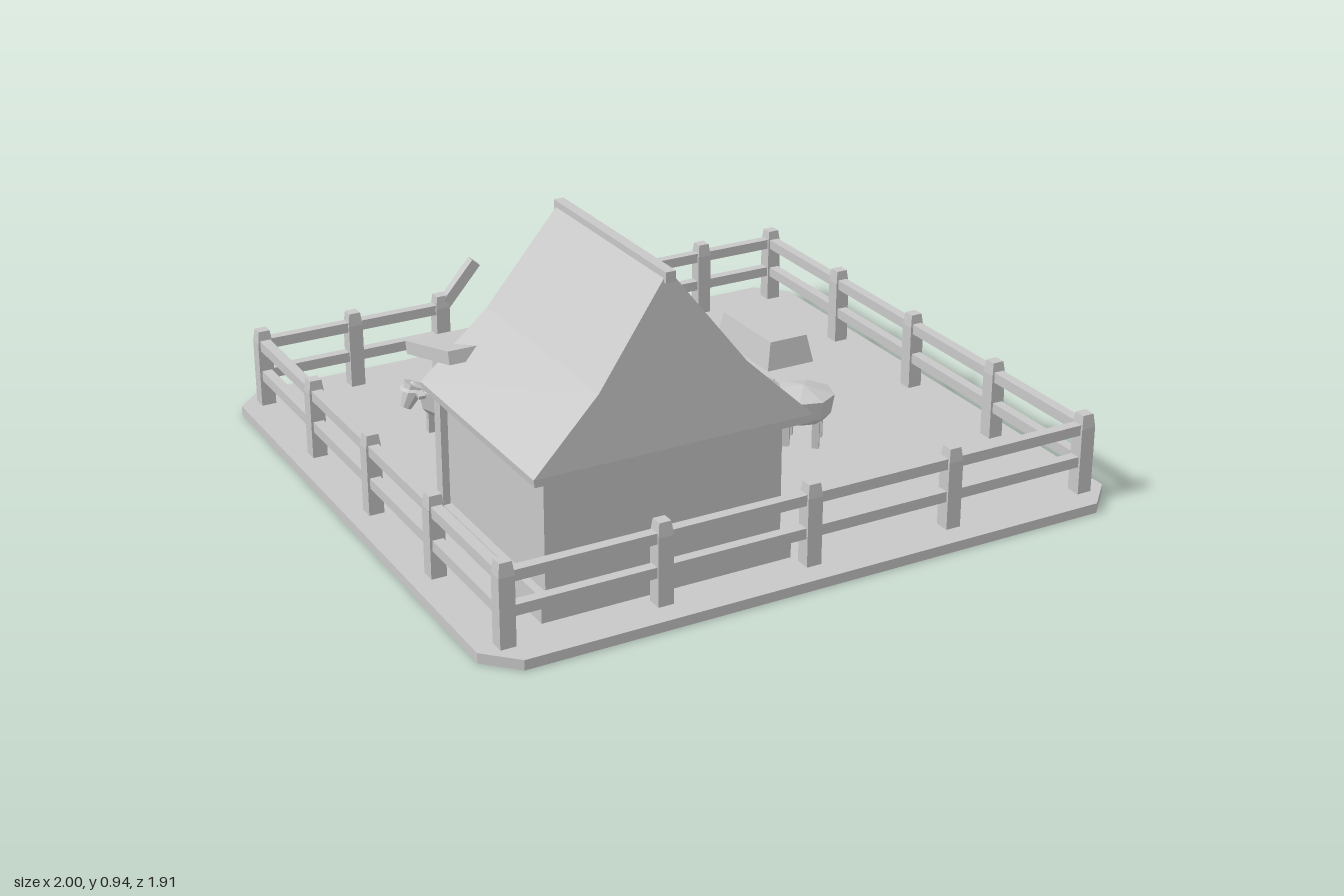
import * as THREE from 'three';

const grey = new THREE.MeshStandardMaterial({ color: 0xc8c8c8, flatShading: true });
grey.name = 'plainGrey';

function add(parent, name, geometry, x = 0, y = 0, z = 0) {
  const mesh = new THREE.Mesh(geometry, grey);
  mesh.name = name;
  mesh.position.set(x, y, z);
  parent.add(mesh);
  return mesh;
}

// Box given by its minimum and maximum corners
function block(parent, name, [x0, y0, z0], [x1, y1, z1]) {
  return add(parent, name, new THREE.BoxGeometry(x1 - x0, y1 - y0, z1 - z0),
    (x0 + x1) / 2, (y0 + y1) / 2, (z0 + z1) / 2);
}

// Rectangular tower through levels [y, half width, half depth, z shift]
function tower(levels) {
  const n = levels.length - 1;
  const geo = new THREE.BoxGeometry(2, n, 2, 1, n, 1);
  const p = geo.attributes.position;
  for (let i = 0; i < p.count; i++) {
    const [y, w, d, shift = 0] = levels[Math.round(p.getY(i) + n / 2)];
    p.setXYZ(i, p.getX(i) * w, y, p.getZ(i) * d + shift);
  }
  geo.computeVertexNormals();
  return geo;
}

function buildGround(root) {
  const c = 0.09, x = 1, z = 0.955;
  const outline = new THREE.Shape([
    [-x + c, -z], [x - c, -z], [x, -z + c], [x, z - c],
    [x - c, z], [-x + c, z], [-x, z - c], [-x, -z + c],
  ].map(([a, b]) => new THREE.Vector2(a, b)));
  const geo = new THREE.ExtrudeGeometry(outline, { depth: 0.03, bevelEnabled: false });
  geo.rotateX(-Math.PI / 2);
  add(root, 'ground', geo);
  block(root, 'path', [-0.22, 0.028, -0.88], [0.1, 0.033, 0.06]);
}

function buildFence(root) {
  const fence = new THREE.Group();
  fence.name = 'fence';
  root.add(fence);
  const X = 0.92, Z = 0.86;
  const postGeo = tower([[0.002, 0.023, 0.023], [0.235, 0.023, 0.023], [0.275, 0.018, 0.018]]);
  const spots = [];
  for (const x of [-X, -0.46, 0, 0.46, X]) spots.push([x, Z]);
  for (const x of [-X, -0.62, -0.32, 0.1, 0.37, 0.645, X]) spots.push([x, -Z]);
  for (const z of [-0.43, 0, 0.43]) spots.push([-X, z], [X, z]);
  for (const [x, z] of spots) add(fence, 'fencePost', postGeo, x, 0, z);

  for (const y of [0.13, 0.23]) {
    const lo = y - 0.016, hi = y + 0.016, t = 0.016;
    block(fence, 'frontRail', [-X, lo, Z - t], [X, hi, Z + t]);
    for (const s of [-X, X]) block(fence, 'sideRail', [s - t, lo, -Z], [s + t, hi, Z]);
    block(fence, 'backRail', [-X, lo, -Z - t], [-0.32, hi, -Z + t]);
    block(fence, 'backRail', [0.1, lo, -Z - t], [X, hi, -Z + t]);
  }
  // Loose plank beside the opening
  const plank = add(fence, 'brokenRail', new THREE.BoxGeometry(0.2, 0.034, 0.034), -0.265, 0.295, -0.853);
  plank.rotation.set(0, -0.08, 0.88);
}

function buildHouse(root) {
  const house = new THREE.Group();
  house.name = 'house';
  root.add(house);
  block(house, 'walls', [-0.765, 0.03, 0.19], [-0.05, 0.46, 0.785]);
  block(house, 'plinth', [-0.79, 0.03, 0.2], [-0.03, 0.105, 0.81]);

  // Flared roof with sloping gable ends
  add(house, 'roof', tower([
    [0.445, 0.412, 0.351, 0.496],
    [0.467, 0.415, 0.351, 0.496],
    [0.655, 0.218, 0.332, 0.496],
    [0.925, 0.012, 0.304, 0.496],
  ]), -0.407, 0, 0);
  block(house, 'ridgeBeam', [-0.422, 0.91, 0.18], [-0.392, 0.94, 0.81]);

  // Porch
  const porchRoof = add(house, 'porchRoof', new THREE.BoxGeometry(0.745, 0.038, 0.305), -0.41, 0.53, 0.105);
  porchRoof.rotation.x = -0.255;
  for (const x of [-0.73, -0.08]) block(house, 'porchPost', [x - 0.02, 0.03, 0.065], [x + 0.02, 0.515, 0.105]);
  block(house, 'porchBeam', [-0.75, 0.47, 0.068], [-0.06, 0.505, 0.102]);

  // Door, step and barred window on the porch wall
  block(house, 'door', [-0.62, 0.03, 0.182], [-0.42, 0.36, 0.2]);
  block(house, 'doorLintel', [-0.64, 0.36, 0.172], [-0.4, 0.395, 0.2]);
  block(house, 'doorStep', [-0.66, 0.03, 0.11], [-0.38, 0.08, 0.2]);
  block(house, 'windowSill', [-0.36, 0.19, 0.17], [-0.11, 0.215, 0.2]);
  block(house, 'windowHead', [-0.36, 0.365, 0.17], [-0.11, 0.395, 0.2]);
  for (let i = 0; i < 5; i++) {
    const x = -0.345 + i * 0.055;
    block(house, 'windowBar', [x - 0.009, 0.2, 0.174], [x + 0.009, 0.38, 0.2]);
  }
}

// One sheep, facing +x before it is turned
function buildSheep(root, x, z, heading) {
  const sheep = new THREE.Group();
  sheep.name = 'sheep';
  sheep.position.set(x, 0, z);
  sheep.rotation.y = heading;
  root.add(sheep);
  const profile = [[0, 0.11], [0.068, 0.11], [0.085, 0.13], [0.095, 0.19], [0, 0.215]]
    .map(([r, y]) => new THREE.Vector2(r, y));
  add(sheep, 'body', new THREE.LatheGeometry(profile, 8));
  for (const lx of [-0.045, 0.045]) {
    for (const lz of [-0.04, 0.04]) block(sheep, 'leg', [lx - 0.011, 0.03, lz - 0.011], [lx + 0.011, 0.13, lz + 0.011]);
  }
  const muzzle = add(sheep, 'muzzle', new THREE.CylinderGeometry(0.036, 0.018, 0.075, 8), 0.122, 0.18, 0);
  muzzle.rotation.z = 0.45;
  add(sheep, 'woolCap', new THREE.ConeGeometry(0.043, 0.022, 8), 0.112, 0.215, 0);
  for (const s of [-1, 1]) {
    const ear = add(sheep, 'ear', new THREE.BoxGeometry(0.022, 0.012, 0.03), 0.106, 0.198, s * 0.045);
    ear.rotation.x = s * 0.3;
  }
}

export function createModel() {
  const root = new THREE.Group();
  root.name = 'farmyard';
  buildGround(root);
  buildFence(root);
  buildHouse(root);
  add(root, 'trough', tower([[0.02, 0.088, 0.166], [0.122, 0.068, 0.148]]), 0.66, 0, -0.467);
  buildSheep(root, -0.515, -0.37, Math.PI - 0.05);
  buildSheep(root, 0.1, -0.355, 1.02);
  buildSheep(root, 0.395, 0.19, Math.PI - 0.68);
  return root;
}
